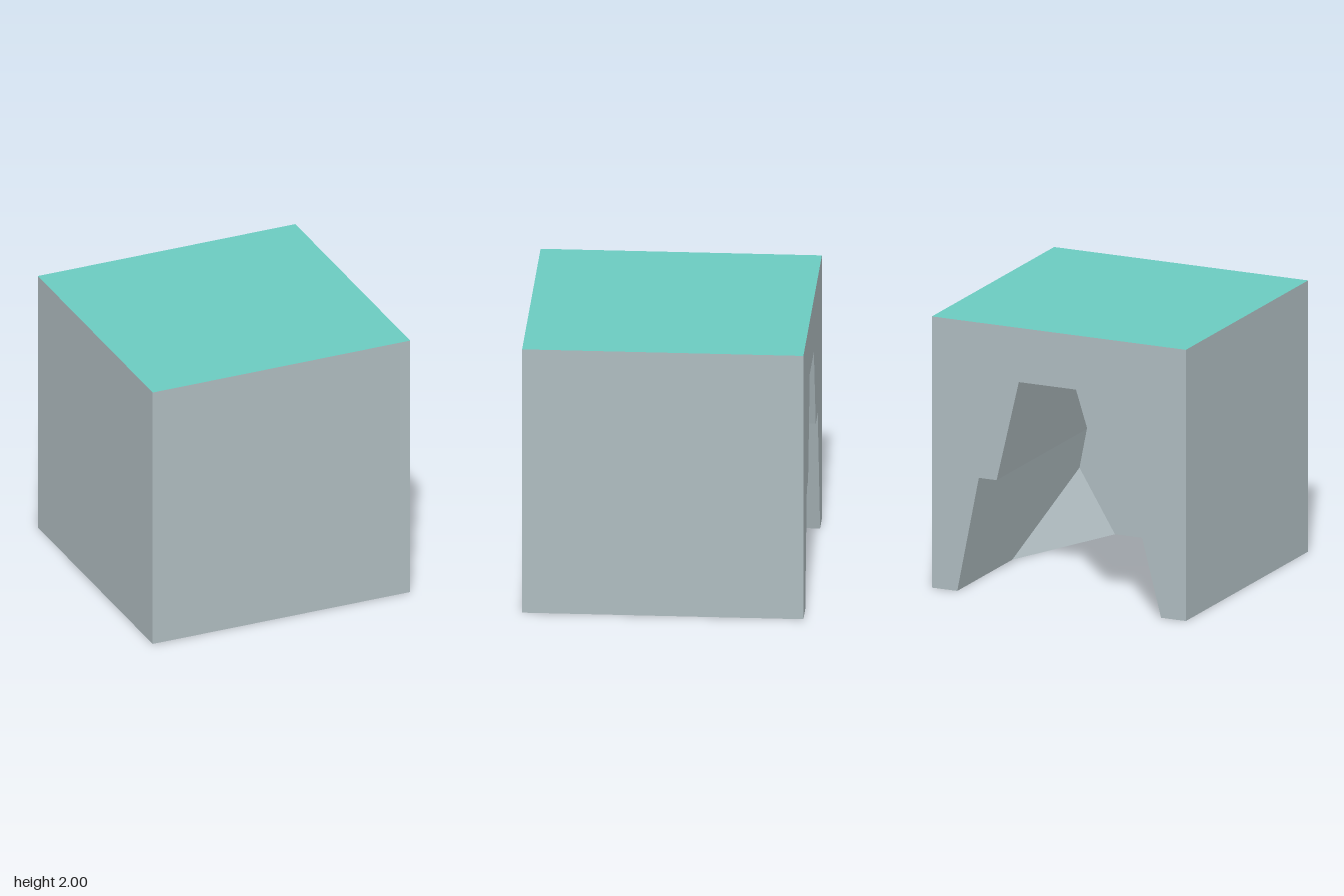
import * as THREE from 'three';

const stone = new THREE.MeshStandardMaterial({ color: 0xafbcc0, name: 'greyStone' });
const grass = new THREE.MeshStandardMaterial({ color: 0x6bcbc0, name: 'tealGrass' });

// Flat polygon faces (corners counter-clockwise from outside) joined into one mesh
function faces(name, material, polygons) {
  const positions = [];
  for (const polygon of polygons) {
    const pts = polygon.map((p) => new THREE.Vector3(...p));
    const normal = new THREE.Vector3();
    pts.forEach((p, i) => normal.add(p.clone().cross(pts[(i + 1) % pts.length])));
    normal.normalize();
    const u = pts[1].clone().sub(pts[0]).normalize();
    const v = normal.clone().cross(u);
    const flat = pts.map((p) => new THREE.Vector2(p.dot(u), p.dot(v)));
    for (const tri of THREE.ShapeUtils.triangulateShape(flat, [])) {
      for (const i of tri) positions.push(...pts[i].toArray());
    }
  }
  const geometry = new THREE.BufferGeometry();
  geometry.setAttribute('position', new THREE.Float32BufferAttribute(positions, 3));
  geometry.computeVertexNormals();
  const mesh = new THREE.Mesh(geometry, material);
  mesh.name = name;
  return mesh;
}

export function createModel() {
  const group = new THREE.Group();
  group.name = 'cliffBlockWithCave';

  // Stepped cave mouth (x, y), from the +x foot over the roof to the -x foot
  const mouth = [
    [0.8, 0], [0.63, 0.855], [0.49, 0.855], [0.315, 1.6],
    [-0.135, 1.6], [-0.335, 0.975], [-0.55, 0.975], [-0.805, 0],
  ];
  const back = -1, end = 0.81;
  const at = (z) => ([x, y]) => [x, y, z];

  // Sloped rocks in the two far corners: [wall foot, end-wall foot, peak]
  const leftRock = [[0.8, 0, -0.1], [0.43, 0, end], [0.709, 0.457, end]];
  const rightRock = [[-0.805, 0, 0.22], [-0.555, 0, end], [-0.681, 0.475, end]];

  // Top
  group.add(faces('grassTop', grass, [[[-1, 2, 1], [1, 2, 1], [1, 2, -1], [-1, 2, -1]]]));

  // Front, sides, back with the cave mouth, and underside
  group.add(faces('blockWalls', stone, [
    [[-1, 0, 1], [1, 0, 1], [1, 2, 1], [-1, 2, 1]],
    [[1, 0, 1], [1, 0, -1], [1, 2, -1], [1, 2, 1]],
    [[-1, 0, -1], [-1, 0, 1], [-1, 2, 1], [-1, 2, -1]],
    [[-1, 0], [-1, 2], [1, 2], [1, 0], ...mouth].map(at(back)),
  ]));
  group.add(faces('underside', stone, [[
    [1, 0, -1], [1, 0, 1], [-1, 0, 1], [-1, 0, -1], [-0.805, 0, -1],
    rightRock[0], rightRock[1], leftRock[1], leftRock[0], [0.8, 0, -1],
  ]]));

  // Cave walls and roof; the two lowest walls are cut by the corner rocks
  const walls = mouth.slice(0, -1).map((p, i) => {
    const q = mouth[i + 1];
    const near = i === 0 ? [leftRock[0], leftRock[2]] : [at(end)(p)];
    const far = i === mouth.length - 2 ? [rightRock[2], rightRock[0]] : [at(end)(q)];
    return [at(back)(p), ...near, ...far, at(back)(q)];
  });
  group.add(faces('caveWalls', stone, walls));

  // Cave end wall
  group.add(faces('caveEnd', stone, [[
    leftRock[1], leftRock[2], ...mouth.slice(1, -1).map(at(end)), rightRock[2], rightRock[1],
  ].reverse()]));

  // Corner rocks
  group.add(faces('leftCornerRock', stone, [leftRock]));
  group.add(faces('rightCornerRock', stone, [[rightRock[1], rightRock[0], rightRock[2]]]));

  return group;
}
